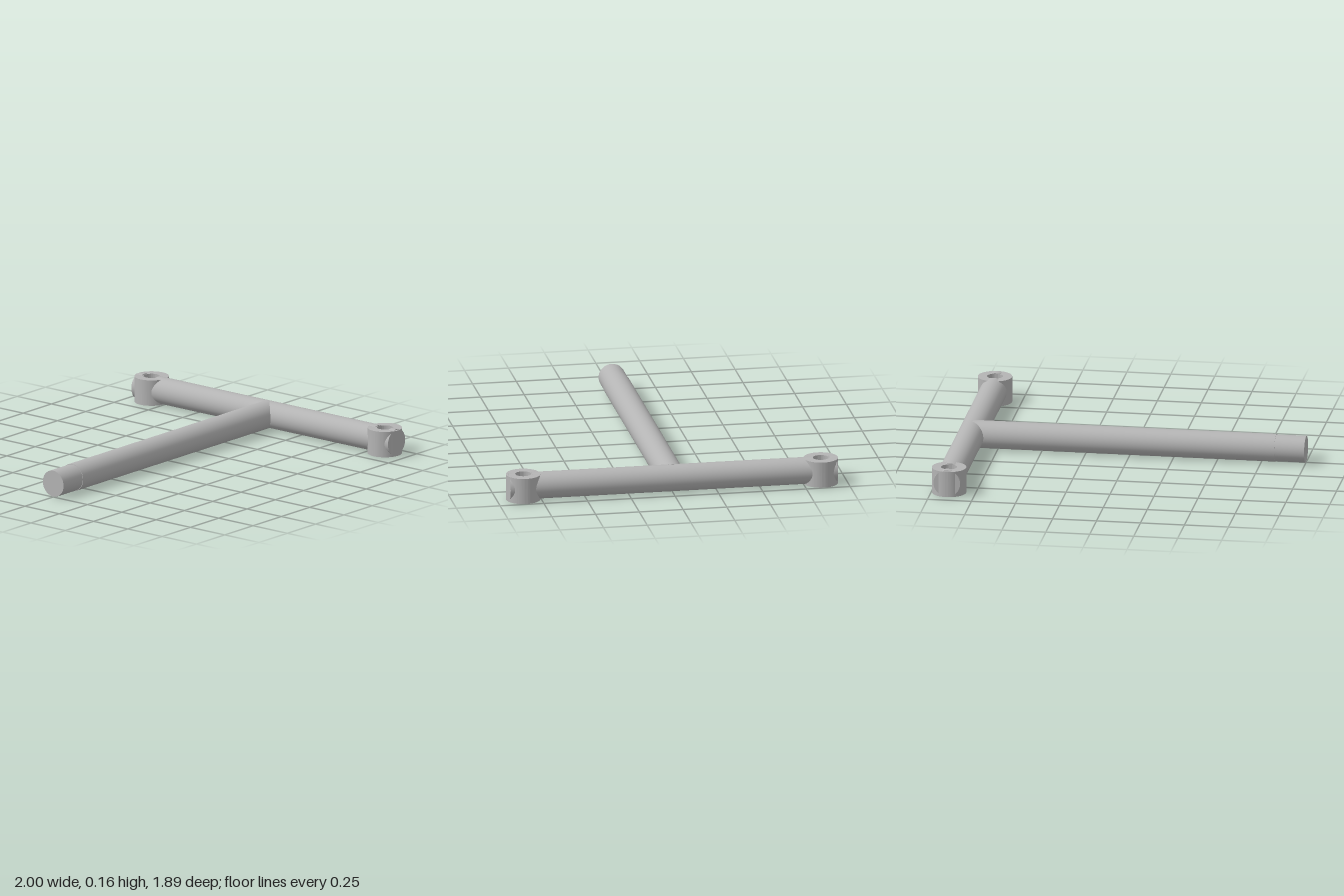
import * as THREE from 'three';
import { toCreasedNormals } from 'three/addons/utils/BufferGeometryUtils.js';

const AXIS_Y = 0.078;   // height of the tube centre lines
const CROSS_X = 0.9;    // position of the crossbar
const EYE_Z = 0.85;     // distance of the eyelets from the middle

export function createModel() {
  const model = new THREE.Group();
  model.name = 'tBar';
  const metal = new THREE.MeshStandardMaterial({ color: 0xb4b4b4 });
  metal.name = 'grey metal';

  // Round bar running between two positions along x or z
  function addBar(name, axis, from, to, radius) {
    const geometry = new THREE.CylinderGeometry(radius, radius, to - from, 48);
    if (axis === 'x') geometry.rotateZ(-Math.PI / 2);
    else geometry.rotateX(Math.PI / 2);
    const bar = new THREE.Mesh(geometry, metal);
    bar.name = name;
    bar.position.set(CROSS_X, AXIS_Y, 0);
    bar.position[axis] = (from + to) / 2;
    model.add(bar);
  }

  // Long stem with a slightly thinner spigot at its free end
  addBar('stem', 'x', -0.83, 0.895, 0.078);
  addBar('stemSpigot', 'x', -1, -0.82, 0.0755);

  // Crossbar, stopping inside the eyelet walls so the holes stay open
  addBar('crossbar', 'z', -0.802, 0.802, 0.076);

  // Upright eyelet: a thick ring with a through hole
  const outline = new THREE.Shape().absarc(0, 0, 0.097, 0, Math.PI * 2, false);
  outline.holes.push(new THREE.Path().absarc(0, 0, 0.045, 0, Math.PI * 2, true));
  const ring = new THREE.ExtrudeGeometry(outline, { depth: 0.148, bevelEnabled: false, curveSegments: 48 });
  ring.rotateX(-Math.PI / 2);
  const eyeletGeometry = toCreasedNormals(ring, 0.6);

  for (const side of [-1, 1]) {
    const label = side > 0 ? 'front' : 'back';
    const eyelet = new THREE.Mesh(eyeletGeometry, metal);
    eyelet.name = label + 'Eyelet';
    eyelet.position.set(CROSS_X, 0.001, side * EYE_Z);
    model.add(eyelet);

    // Short end of the crossbar beyond the hole
    const ends = [side * 0.898, side * 0.935].sort((a, b) => a - b);
    addBar(label + 'CrossbarEnd', 'z', ends[0], ends[1], 0.076);
  }
  return model;
}
